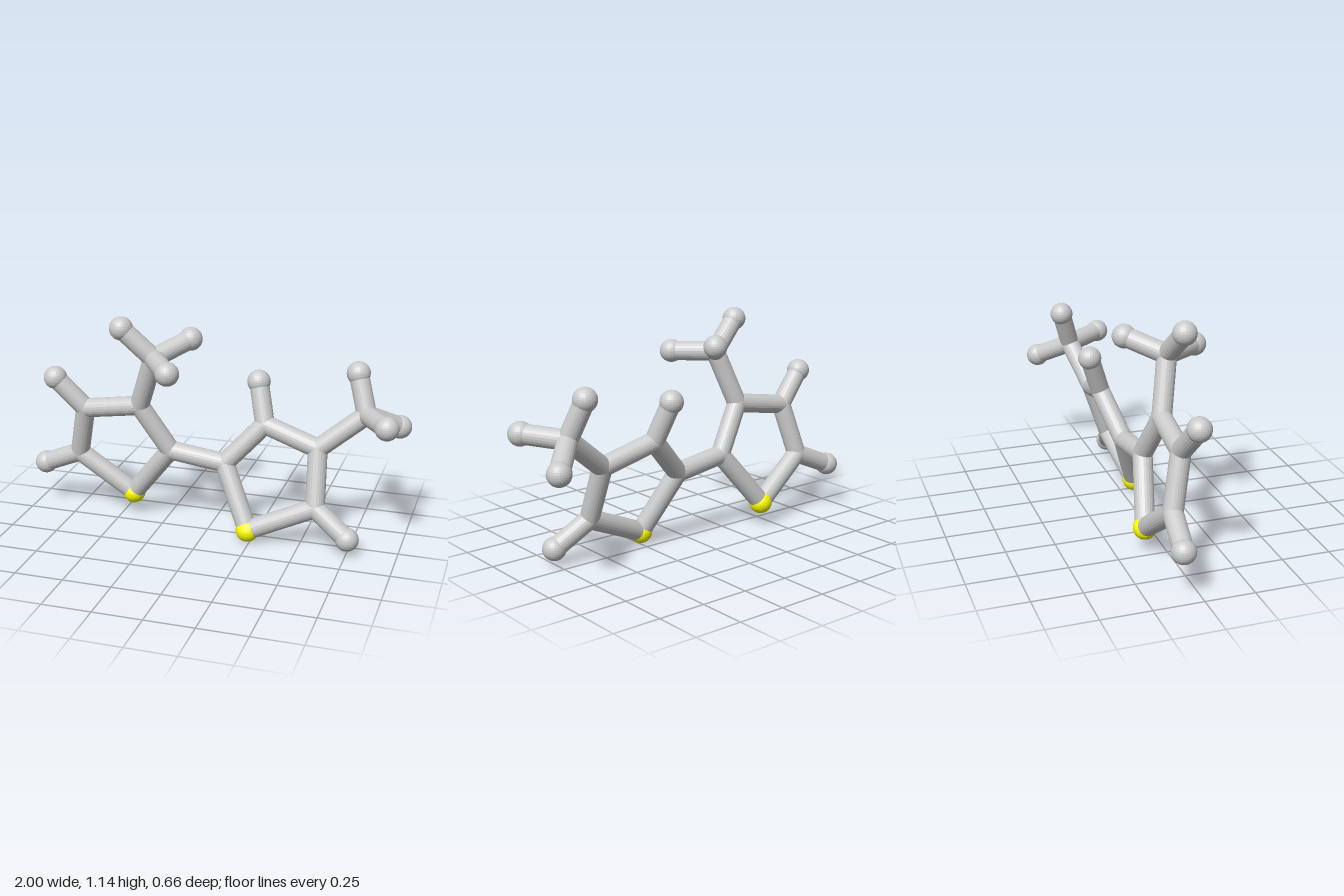
import * as THREE from 'three';

const ROD = 0.05, BALL = 0.06;

// Joint positions: [x, y, z]
const atoms = {
  // ring on the right-hand side (-x)
  sulfurA: [-0.44, 0.12, -0.095],
  linkA: [-0.21, 0.41, -0.03],
  upperA: [-0.36, 0.655, 0.015],
  outerA: [-0.665, 0.605, 0],
  lowerA: [-0.73, 0.33, -0.06],
  hydrogenA1: [-0.815, 0.767, 0.03],
  hydrogenA2: [-0.94, 0.238, -0.083],
  methylA: [-0.26, 0.935, 0.075],
  hydrogenA3: [-0.415, 1.085, 0.107],
  hydrogenA4: [-0.117, 1.0, -0.095],
  hydrogenA5: [-0.123, 0.925, 0.268],
  // ring on the left-hand side (+x)
  sulfurB: [0.235, 0.06, 0.072],
  linkB: [0.08, 0.37, -0.037],
  upperB: [0.275, 0.58, -0.1],
  outerB: [0.56, 0.495, -0.063],
  lowerB: [0.575, 0.21, 0.034],
  hydrogenB1: [0.222, 0.783, -0.17],
  hydrogenB2: [0.752, 0.083, 0.082],
  methylB: [0.79, 0.68, -0.118],
  hydrogenB3: [0.73, 0.873, -0.178],
  hydrogenB4: [0.922, 0.692, 0.08],
  hydrogenB5: [0.938, 0.58, -0.268],
};

// Bonds shared by both rings, then the ones that differ
const ringBonds = [
  ['sulfur', 'link'], ['link', 'upper'], ['upper', 'outer'], ['outer', 'lower'], ['lower', 'sulfur'],
  ['methyl', 'hydrogen', 3], ['methyl', 'hydrogen', 4], ['methyl', 'hydrogen', 5], ['lower', 'hydrogen', 2],
];
const bonds = [
  ['linkA', 'linkB'],
  ['upperA', 'methylA'], ['outerA', 'hydrogenA1'],
  ['outerB', 'methylB'], ['upperB', 'hydrogenB1'],
];
for (const side of ['A', 'B'])
  for (const [a, b, n = ''] of ringBonds) bonds.push([a + side, b + side + n]);

export function createModel() {
  const model = new THREE.Group();
  model.name = 'molecule';
  const grey = new THREE.MeshStandardMaterial({ color: 0xcccccc, flatShading: true });
  const yellow = new THREE.MeshStandardMaterial({ color: 0xffff00, flatShading: true });
  const ball = new THREE.SphereGeometry(BALL, 24, 16);
  const joint = new THREE.SphereGeometry(ROD, 24, 16);
  const up = new THREE.Vector3(0, 1, 0);

  // Atoms: large balls at the ends, rod-sized joints for the carbons
  for (const [name, p] of Object.entries(atoms)) {
    const isSulfur = name.startsWith('sulfur');
    const isBall = isSulfur || name.startsWith('hydrogen');
    const mesh = new THREE.Mesh(isBall ? ball : joint, isSulfur ? yellow : grey);
    mesh.name = name;
    mesh.position.set(...p);
    model.add(mesh);
  }

  // Bonds: one rod between each pair of atoms
  for (const [a, b] of bonds) {
    const start = new THREE.Vector3(...atoms[a]);
    const end = new THREE.Vector3(...atoms[b]);
    const dir = end.clone().sub(start);
    const rod = new THREE.Mesh(new THREE.CylinderGeometry(ROD, ROD, dir.length(), 24), grey);
    rod.name = `bond ${a} to ${b}`;
    rod.position.copy(start).add(end).multiplyScalar(0.5);
    rod.quaternion.setFromUnitVectors(up, dir.normalize());
    model.add(rod);
  }
  return model;
}
